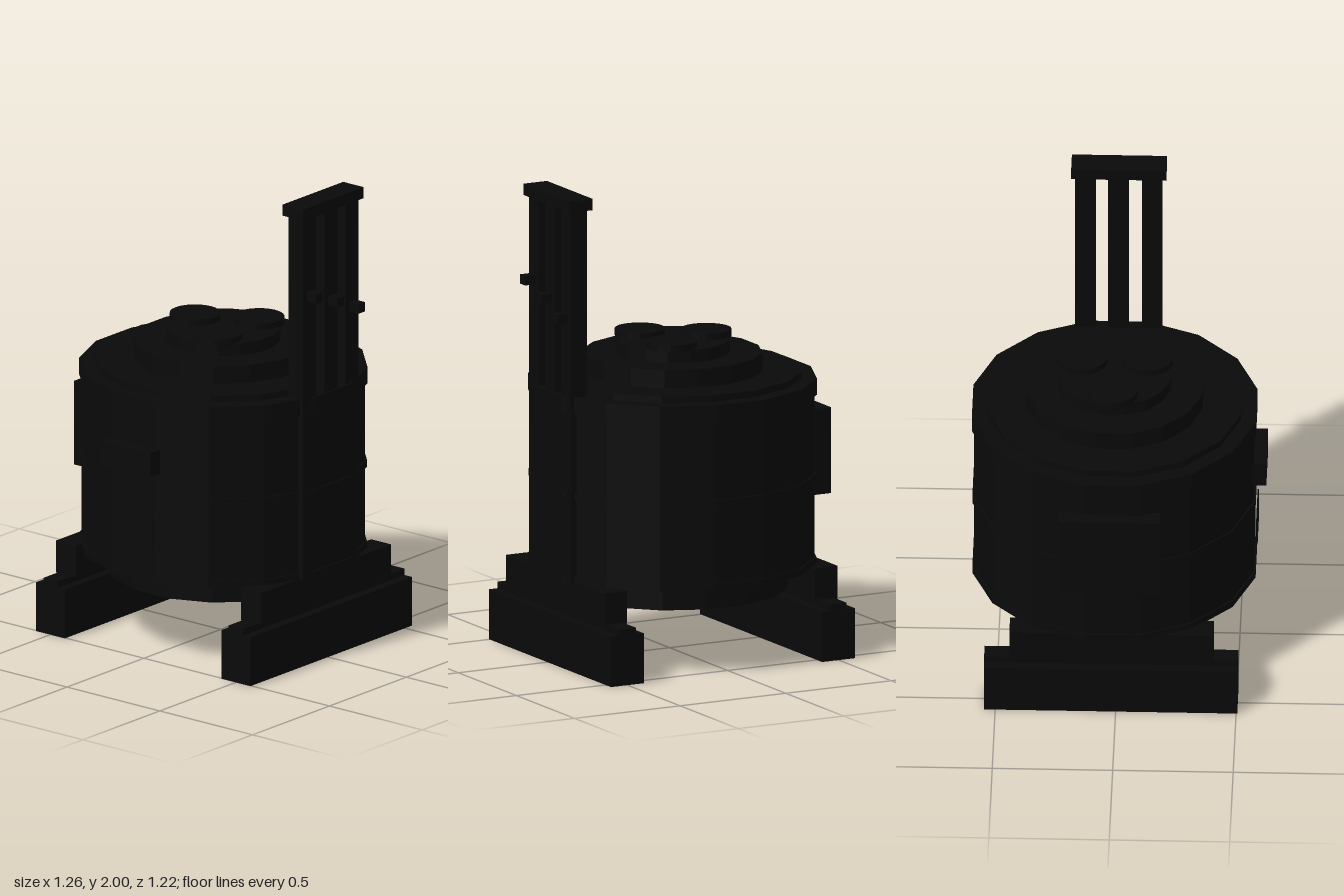
import * as THREE from 'three';

export function createModel() {
  const model = new THREE.Group();
  model.name = 'tankOnSkids';
  const black = new THREE.MeshStandardMaterial({ color: 0x0a0a0a, flatShading: true });
  black.name = 'black';
  const CX = -0.003, CZ = -0.02; // tank axis

  function add(geometry, name) {
    const mesh = new THREE.Mesh(geometry, black);
    mesh.name = name;
    model.add(mesh);
    return mesh;
  }

  // box given by its limits on each axis
  function box(name, x0, x1, y0, y1, z0, z1) {
    const mesh = add(new THREE.BoxGeometry(x1 - x0, y1 - y0, z1 - z0), name);
    mesh.position.set((x0 + x1) / 2, (y0 + y1) / 2, (z0 + z1) / 2);
  }

  // sixteen-sided drum given by half its width across flats, flat face to the front
  function drum(name, apothem, y0, y1) {
    const r = apothem / Math.cos(Math.PI / 16);
    const geometry = new THREE.CylinderGeometry(r, r, y1 - y0, 16);
    geometry.rotateY(Math.PI / 16);
    add(geometry, name).position.set(CX, (y0 + y1) / 2, CZ);
  }

  // tank body, bands and stepped roof
  drum('baseSkirt', 0.47, 0.267, 0.38);
  drum('tankBody', 0.58, 0.375, 1.12);
  drum('lowerBand', 0.588, 0.37, 0.4);
  drum('middleBand', 0.588, 0.725, 0.755);
  drum('topRim', 0.59, 1.09, 1.16);
  drum('roofLower', 0.527, 1.15, 1.188);
  drum('roofMiddle', 0.367, 1.18, 1.265);
  drum('roofUpper', 0.235, 1.26, 1.318);

  // round hatches on the roof
  for (const [x, z] of [[-0.16, -0.025], [0.077, -0.157], [0.077, 0.115]]) {
    add(new THREE.CylinderGeometry(0.105, 0.105, 0.03, 24), 'roofHatch').position.set(x, 1.33, z);
  }

  // skids with rails and supports
  for (const s of [-1, 1]) {
    const pair = (name, a, b, y0, y1, z0, z1) =>
      box(name, Math.min(s * a, s * b), Math.max(s * a, s * b), y0, y1, z0, z1);
    pair('skid', 0.422, 0.578, 0, 0.212, -0.547, 0.505);
    pair('skidRail', 0.46, 0.537, 0.205, 0.24, -0.547, 0.505);
    pair('skidSupport', 0.445, 0.552, 0.235, 0.375, -0.442, 0.405);
  }

  // three square stacks with staggered pegs and a shared cap
  [[0.12, 1.607], [-0.02, 1.555], [-0.157, 1.495]].forEach(([z, y]) => {
    box('stack', 0.5, 0.577, 0.372, 1.96, z - 0.042, z + 0.042);
    box('stackPeg', 0.57, 0.63, y - 0.02, y + 0.02, z - 0.022, z + 0.02);
  });
  box('stackCap', 0.482, 0.592, 1.952, 2, -0.215, 0.18);

  // side cabinet, front box and front plate
  box('sideCabinet', -0.635, -0.56, 0.635, 1.0, -0.235, 0.187);
  box('frontBox', -0.13, 0.13, 0.845, 0.95, 0.54, 0.613);
  box('frontPlate', -0.11, 0.11, 0.53, 0.655, 0.57, 0.576);

  return model;
}
